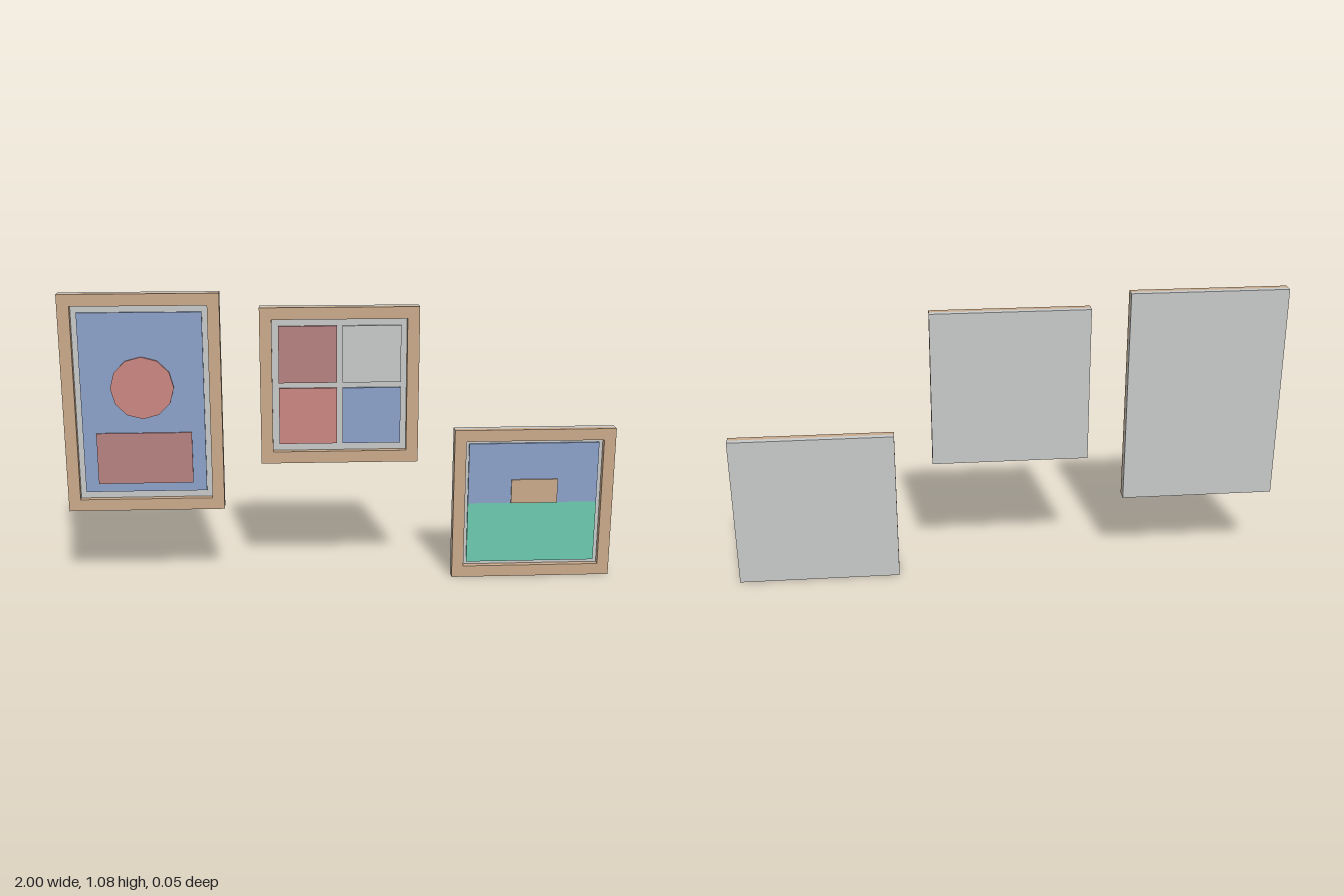
import * as THREE from 'three';

const mat = (name, color) => {
  const m = new THREE.MeshStandardMaterial({ color });
  m.name = name;
  return m;
};

export function createModel() {
  const wood = mat('wood', 0xc9aa8b);
  const board = mat('pale grey board', 0xc7c9c8);
  const blue = mat('sky blue', 0x8ba2c9);
  const coral = mat('coral', 0xc98682);
  const brick = mat('brick', 0xb58280);
  const green = mat('meadow green', 0x6dcab0);

  const HALF = 0.0225; // half of the frame depth
  const BORDER = 0.043;

  const add = (group, name, geometry, material, x, y, z) => {
    const mesh = new THREE.Mesh(geometry, material);
    mesh.name = name;
    mesh.position.set(x, y, z);
    group.add(mesh);
    return mesh;
  };

  // Flat rectangular plate given by its edges and its z range
  const plate = (group, name, material, x0, x1, y0, y1, z0, z1) =>
    add(group, name, new THREE.BoxGeometry(x1 - x0, y1 - y0, z1 - z0), material,
      (x0 + x1) / 2, (y0 + y1) / 2, (z0 + z1) / 2);

  const rectangle = (target, x0, x1, y0, y1) => {
    target.moveTo(x0, y0);
    target.lineTo(x1, y0);
    target.lineTo(x1, y1);
    target.lineTo(x0, y1);
    target.closePath();
    return target;
  };

  // Wooden border in front of a full-size backing board
  const picture = (name, x0, x1, y0, y1) => {
    const group = new THREE.Group();
    group.name = name;
    const shape = rectangle(new THREE.Shape(), x0, x1, y0, y1);
    shape.holes.push(rectangle(new THREE.Path(),
      x0 + BORDER, x1 - BORDER, y0 + BORDER, y1 - BORDER));
    add(group, 'frameBorder',
      new THREE.ExtrudeGeometry(shape, { depth: HALF, bevelEnabled: false }), wood, 0, 0, 0);
    plate(group, 'backingBoard', board, x0, x1, y0, y1, -HALF, 0);
    return group;
  };

  // Tall picture: disc above a block
  const tall = picture('tallPicture', -1, -0.436, 0.286, 1.08);
  plate(tall, 'blueGround', blue, -0.937, -0.499, 0.354, 1.012, 0, 0.008);
  const disc = add(tall, 'disc', new THREE.CylinderGeometry(0.113, 0.113, 0.008, 12),
    coral, -0.718, 0.741, 0.012);
  disc.rotation.x = Math.PI / 2;
  plate(tall, 'block', brick, -0.889, -0.547, 0.386, 0.575, 0.008, 0.014);

  // Square picture: four tiles
  const square = picture('squarePicture', -0.298, 0.27, 0.457, 1.027);
  const tiles = [[coral, blue], [brick, board]];
  tiles.forEach((row, j) => row.forEach((material, i) => {
    const x = -0.232 + i * 0.229;
    const y = 0.526 + j * 0.226;
    plate(square, 'tile', material, x, x + 0.209, y, y + 0.206, 0, 0.009);
  }));

  // Landscape picture: sky, meadow and a small hut
  const land = picture('landscapePicture', 0.406, 1, 0, 0.571);
  plate(land, 'sky', blue, 0.462, 0.943, 0.286, 0.515, 0, 0.008);
  plate(land, 'meadow', green, 0.462, 0.943, 0.055, 0.286, 0, 0.008);
  plate(land, 'hut', wood, 0.622, 0.794, 0.286, 0.377, 0.008, 0.014);

  const model = new THREE.Group();
  model.name = 'wallPictures';
  model.add(tall, square, land);
  return model;
}
